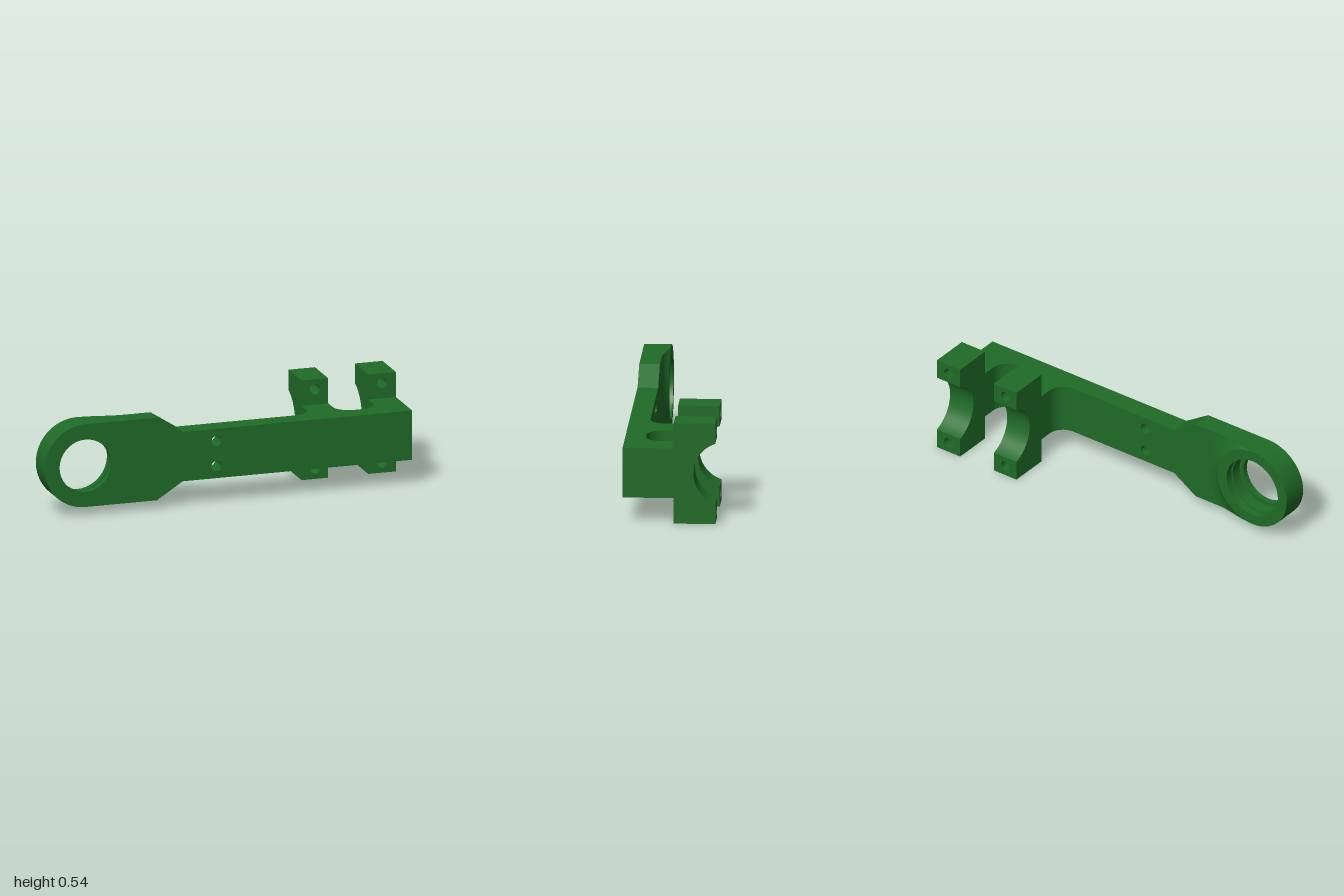
import * as THREE from 'three';
import { toCreasedNormals } from 'three/addons/utils/BufferGeometryUtils.js';

const HEAD_X = -0.78, MID_Y = 0.268, HEAD_R = 0.222;
const FRONT = 0.24, PLATE_BACK = 0.133, BOSS_BACK = 0.098;
const EAR_FRONT = -0.025, EAR_BACK = -0.24;
const ARM_LOW = 0.135, ARM_HIGH = 0.4, PIN_R = 0.028;

const material = new THREE.MeshStandardMaterial({ color: 0x1f6b27, side: THREE.DoubleSide });

function extrude(shape, depth) {
  const geo = new THREE.ExtrudeGeometry(shape, { depth, bevelEnabled: false, curveSegments: 40 });
  return toCreasedNormals(geo, 0.5);
}

function hole(x, y, r) {
  return new THREE.Path().absarc(x, y, r, 0, Math.PI * 2, true);
}

export function createModel() {
  const group = new THREE.Group();
  group.name = 'clampArm';

  const add = (name, geo) => {
    const mesh = new THREE.Mesh(geo, material);
    mesh.name = name;
    group.add(mesh);
  };
  // Shape in the xy plane, filling z0..z1
  const slab = (name, shape, z0, z1) => add(name, extrude(shape, z1 - z0).translate(0, 0, z0));

  // Flat arm with round head, in layers so that the head bore has a lip and a groove
  const pinHoles = [0.2, 0.335].map(y => hole(-0.065, y, PIN_R));
  const layers = [
    ['armFrontLip', 0.21, FRONT, 0.14],
    ['armBody', 0.15, 0.21, 0.165],
    ['armGroove', PLATE_BACK, 0.15, 0.173],
  ];
  for (const [name, z0, z1, bore] of layers) {
    const s = new THREE.Shape();
    s.moveTo(1, ARM_LOW);
    s.lineTo(1, ARM_HIGH);
    s.lineTo(-0.25, ARM_HIGH);
    s.lineTo(-0.39, MID_Y + HEAD_R);
    s.lineTo(HEAD_X, MID_Y + HEAD_R);
    s.absarc(HEAD_X, MID_Y, HEAD_R, Math.PI / 2, Math.PI * 1.5, false);
    s.lineTo(-0.39, MID_Y - HEAD_R);
    s.lineTo(-0.25, ARM_LOW);
    s.holes.push(hole(HEAD_X, MID_Y, bore), ...pinHoles);
    slab(name, s, z0, z1);
  }

  // Raised ring on the back of the head
  const ring = new THREE.Shape().absarc(HEAD_X, MID_Y, HEAD_R, 0, Math.PI * 2, false);
  ring.holes.push(hole(HEAD_X, MID_Y, 0.165));
  slab('headRing', ring, BOSS_BACK, PLATE_BACK);

  // Concave fillet running from the ring down to the arm, cut off at the arm's sides
  const reach = 0.113, filletR = 0.2;
  const filletZ = r => {
    const d = HEAD_R + reach - r;
    return PLATE_BACK - (filletR - Math.sqrt(filletR * filletR - d * d));
  };
  const fillet = new THREE.PlaneGeometry(1, 1, 40, 12);
  const fp = fillet.attributes.position;
  for (let i = 0; i < fp.count; i++) {
    const r = HEAD_R + (fp.getY(i) + 0.5) * reach;
    const angle = fp.getX(i) * 2 * Math.asin(Math.min(1, HEAD_R / r));
    fp.setXYZ(i, HEAD_X + r * Math.cos(angle), MID_Y + r * Math.sin(angle), filletZ(r));
  }
  // Reverse the winding so that the surface faces the back
  const index = fillet.index.array;
  if (new THREE.Vector3().crossVectors(
    new THREE.Vector3().fromBufferAttribute(fp, index[1]).sub(new THREE.Vector3().fromBufferAttribute(fp, index[0])),
    new THREE.Vector3().fromBufferAttribute(fp, index[2]).sub(new THREE.Vector3().fromBufferAttribute(fp, index[0]))).z > 0) {
    index.reverse();
  }
  fillet.computeVertexNormals();
  add('headFillet', fillet);

  // Upright sides under the fillet
  const side = new THREE.Shape();
  side.moveTo(HEAD_X, -PLATE_BACK);
  for (let i = 0; i <= 12; i++) {
    const r = HEAD_R + reach * i / 12;
    side.lineTo(HEAD_X + Math.sqrt(r * r - HEAD_R * HEAD_R), -filletZ(r));
  }
  for (const [name, y] of [['headSideTop', MID_Y + HEAD_R], ['headSideBottom', MID_Y - HEAD_R]]) {
    const geo = new THREE.ShapeGeometry(side).rotateX(-Math.PI / 2).translate(0, y, 0);
    if (y < MID_Y) {
      geo.index.array.reverse();
      geo.computeVertexNormals();
    }
    add(name, geo);
  }

  // Necks joining the clamps to the arm, with rounded roots (drawn in x and -z)
  const f = 0.087, root = -PLATE_BACK + f, top = -EAR_FRONT;
  const neck = new THREE.Shape();
  neck.moveTo(0.4, -0.15);
  neck.lineTo(0.4, -PLATE_BACK);
  neck.absarc(0.4, root, f, -Math.PI / 2, 0, false);
  neck.lineTo(0.487, top);
  neck.lineTo(0.632, top);
  neck.lineTo(0.632, root);
  neck.absarc(0.719, root, f, Math.PI, Math.PI * 1.5, false);
  neck.lineTo(0.763, -PLATE_BACK);
  neck.absarc(0.763, root, f, -Math.PI / 2, 0, false);
  neck.lineTo(0.85, top);
  neck.lineTo(1, top);
  neck.lineTo(1, -0.15);
  add('clampNecks', extrude(neck, ARM_HIGH - ARM_LOW).rotateX(-Math.PI / 2).translate(0, ARM_LOW, 0));

  // Two half-round clamps, each with a saddle and a drilled ear above and below
  const saddleHalf = 0.16, boreZ = 0.295, boreR = 0.169;
  const start = Math.atan2(saddleHalf, -EAR_BACK - boreZ);
  const saddle = new THREE.Shape();
  saddle.moveTo(-EAR_FRONT, MID_Y - saddleHalf);
  saddle.lineTo(-EAR_FRONT, MID_Y + saddleHalf);
  saddle.lineTo(-EAR_BACK, MID_Y + saddleHalf);
  saddle.absarc(boreZ, MID_Y, boreR, start, Math.PI * 2 - start, false);
  saddle.lineTo(-EAR_BACK, MID_Y - saddleHalf);

  for (const [label, x0, x1] of [['inner', 0.487, 0.632], ['outer', 0.85, 1]]) {
    add(label + 'ClampSaddle', extrude(saddle, x1 - x0).rotateY(Math.PI / 2).translate(x0, 0, 0));
    for (const [part, y0, y1, holeY] of [
      ['UpperEar', MID_Y + saddleHalf, 0.535, 0.482],
      ['LowerEar', 0, MID_Y - saddleHalf, 0.054],
    ]) {
      const ear = new THREE.Shape();
      ear.moveTo(x0, y0);
      ear.lineTo(x1, y0);
      ear.lineTo(x1, y1);
      ear.lineTo(x0, y1);
      ear.holes.push(hole((x0 + x1) / 2, holeY, PIN_R));
      slab(label + part, ear, EAR_BACK, EAR_FRONT);
    }
  }
  return group;
}
